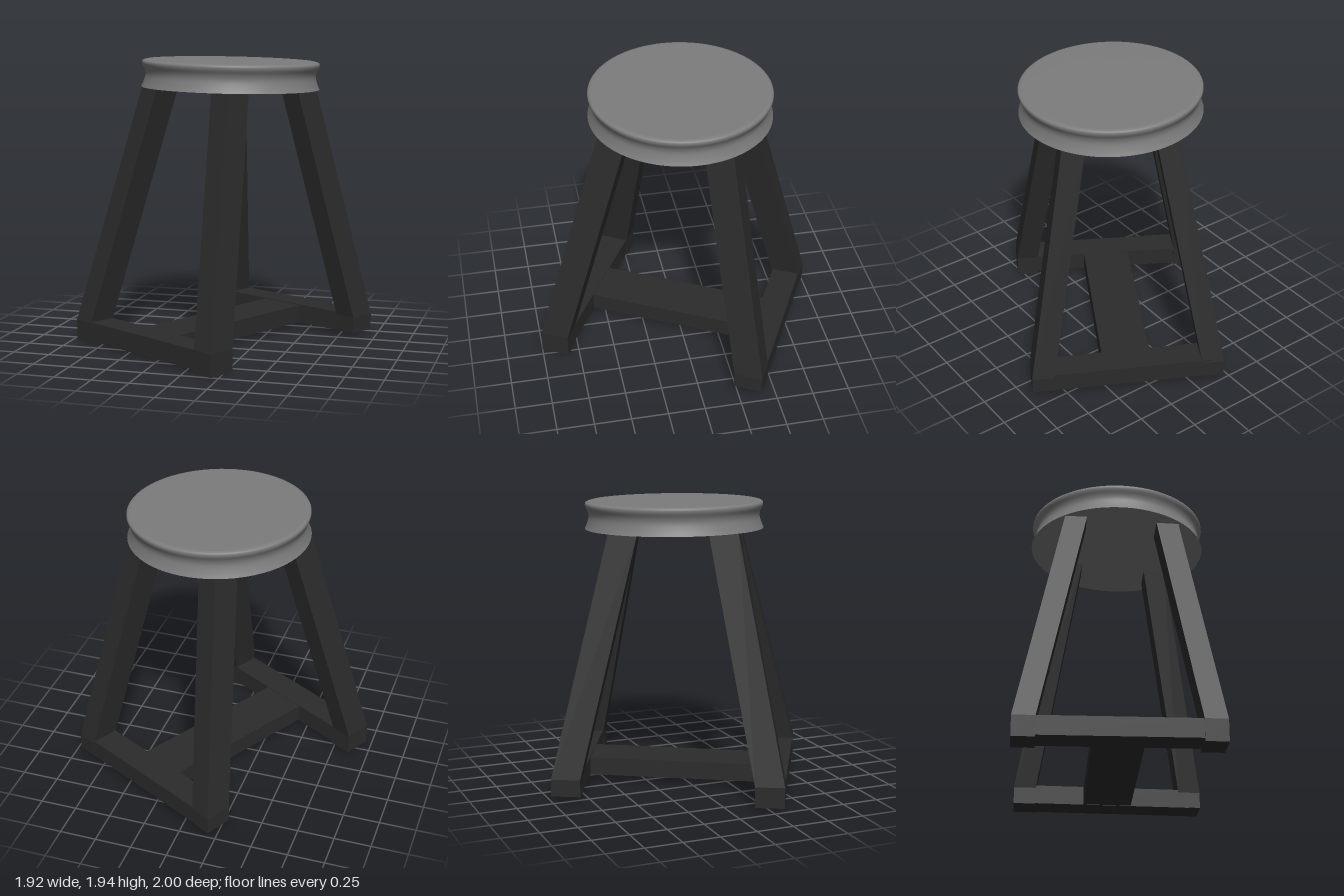
import * as THREE from 'three';

const wood = new THREE.MeshStandardMaterial({ color: 0x2b2b2b });
const seatMat = new THREE.MeshStandardMaterial({ color: 0x7c7c7c });

// the frame is turned about y: u runs along the rails, v across them
const TURN = THREE.MathUtils.degToRad(28.4);
const C = Math.cos(TURN), S = Math.sin(TURN);
const toXZ = (u, v) => [u * C - v * S, u * S + v * C];
const LEG_U = 0.15, LEG_V = 0.195;

// outer foot corner, its side in u and v, foot height, lean towards the seat
const LEGS = {
  frontLeg: { tip: [0.2, 1.0], side: [1, 1], foot: 0, lean: [-0.02, -0.46] },
  rightLeg: { tip: [-0.96, 0.34], side: [-1, 1], foot: 0.01, lean: [0.44, -0.14] },
  backLeg: { tip: [-0.2, -1.0], side: [-1, -1], foot: 0.035, lean: [0.09, 0.45] },
  leftLeg: { tip: [0.96, -0.4], side: [1, -1], foot: 0.04, lean: [-0.38, 0.15] },
};

function footCentre({ tip, side }) {
  const [dx, dz] = toXZ(side[0] * LEG_U / 2, side[1] * LEG_V / 2);
  return [tip[0] - dx, tip[1] - dz];
}

// leg: short upright foot, then a straight slant up to the seat
function makeLeg(name, leg) {
  const [cx, cz] = footCentre(leg);
  const box = new THREE.BoxGeometry(LEG_U, 2, LEG_V, 1, 2, 1);
  const pos = box.attributes.position;
  for (let i = 0; i < pos.count; i++) {
    const row = Math.round(pos.getY(i)) + 1;
    const [dx, dz] = toXZ(pos.getX(i), pos.getZ(i));
    const k = row === 2 ? 1 : 0;
    pos.setXYZ(i, cx + dx + k * leg.lean[0], [leg.foot, 0.15, 1.755][row], cz + dz + k * leg.lean[1]);
  }
  const geo = box.toNonIndexed();
  geo.computeVertexNormals();
  const mesh = new THREE.Mesh(geo, wood);
  mesh.name = name;
  return mesh;
}

// straight bar between two points
function makeBar(name, a, b, width, height) {
  const mesh = new THREE.Mesh(new THREE.BoxGeometry(width, height, a.distanceTo(b)), wood);
  mesh.position.addVectors(a, b).multiplyScalar(0.5);
  mesh.lookAt(b);
  mesh.name = name;
  return mesh;
}

export function createModel() {
  const group = new THREE.Group();
  for (const [name, leg] of Object.entries(LEGS)) group.add(makeLeg(name, leg));

  // side rails between each pair of feet
  const at = (name, y) => {
    const [x, z] = footCentre(LEGS[name]);
    return new THREE.Vector3(x, y, z);
  };
  const rails = [['frontRail', 'rightLeg', 'frontLeg', 0.087], ['backRail', 'backLeg', 'leftLeg', 0.104]];
  const mids = rails.map(([name, l, r, y]) => {
    const a = at(l, y), b = at(r, y);
    group.add(makeBar(name, a, b, 0.19, 0.13));
    return a.clone().lerp(b, 0.5);
  });

  // wide crossbar joining the rails
  group.add(makeBar('crossbar', mids[0], mids[1], 0.33, 0.122));

  // round seat: flat underside, waisted rim, rounded top edge
  const rim = new THREE.SplineCurve([
    [0.605, 0], [0.59, 0.035], [0.578, 0.08], [0.583, 0.115], [0.598, 0.145],
    [0.602, 0.165], [0.595, 0.178], [0.575, 0.184],
  ].map(p => new THREE.Vector2(...p))).getPoints(24);
  const seat = new THREE.Group();
  seat.name = 'seat';
  const addTurned = (name, pts) => {
    const mesh = new THREE.Mesh(new THREE.LatheGeometry(pts, 64), seatMat);
    mesh.name = name;
    seat.add(mesh);
  };
  addTurned('seatUnderside', [new THREE.Vector2(0, 0), new THREE.Vector2(0.605, 0)]);
  addTurned('seatTop', [...rim, new THREE.Vector2(0.4, 0.186), new THREE.Vector2(0, 0.187)]);
  seat.position.set(0.038, 1.746, -0.02);
  seat.rotation.z = -0.021;
  group.add(seat);
  return group;
}
